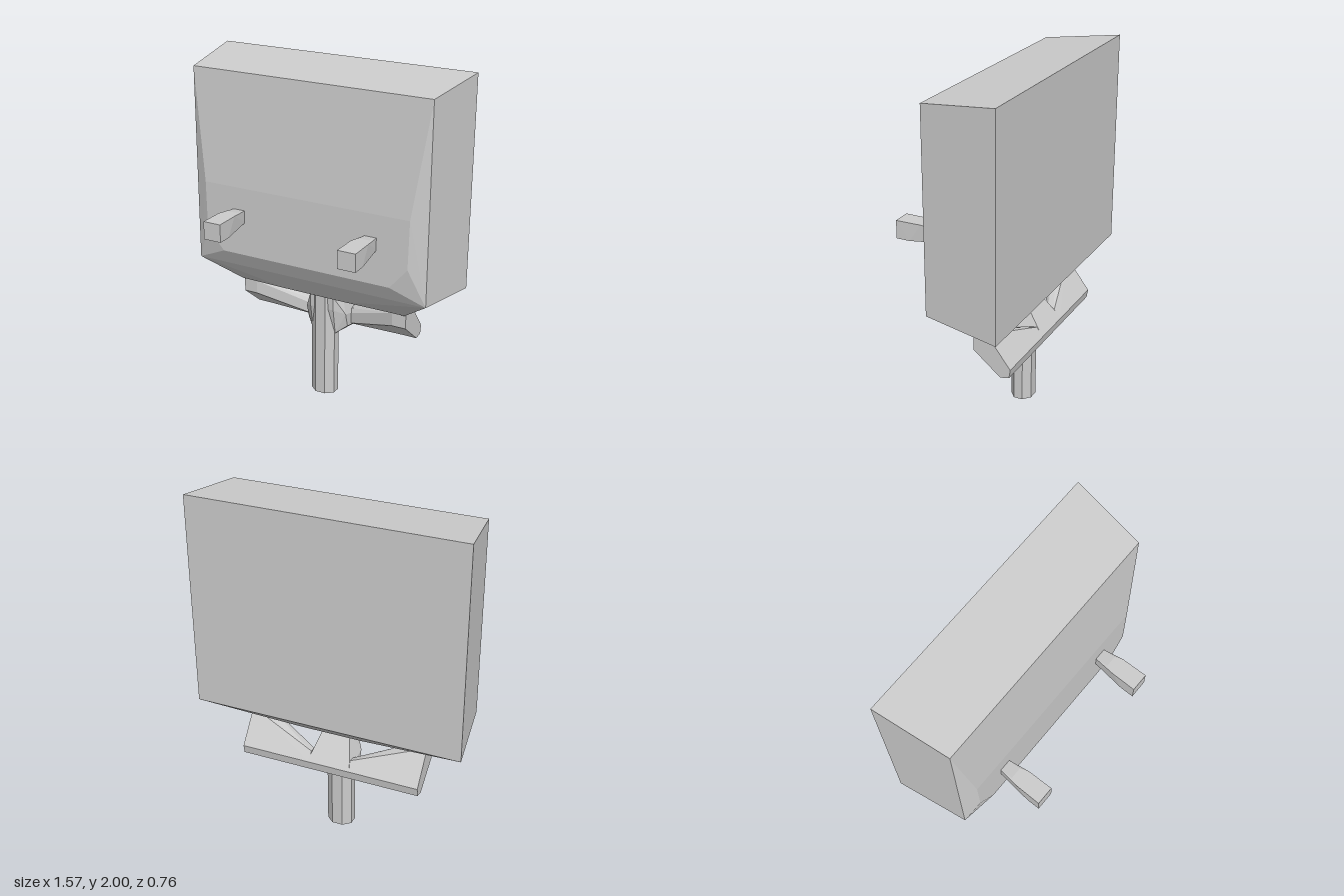
import * as THREE from 'three';
import { ConvexGeometry } from 'three/addons/geometries/ConvexGeometry.js';

const material = new THREE.MeshStandardMaterial({ color: 0xcccccc, flatShading: true });

// Faceted solid around [x, y, z] corners
function hull(name, corners) {
  const mesh = new THREE.Mesh(new ConvexGeometry(corners.map(c => new THREE.Vector3(...c))), material);
  mesh.name = name;
  return mesh;
}
const mirrored = half => half.flatMap(([x, y, z]) => [[x, y, z], [-x, y, z]]);
// Cross-section of [z, y] points placed at x
const section = (x, pts) => pts.map(([z, y]) => [x, y, z]);

export function createModel() {
  const model = new THREE.Group();

  // Housing: tapered box with a shallow front bulge and a chamfered underside
  model.add(hull('housing', mirrored([
    [0.785, 2, -0.38], [0.785, 0.757, -0.38],
    [0.727, 1.95, 0.055], [0.727, 0.8, 0.055],
    [0.64, 1.3, 0.104], [0.635, 1.02, 0.105], [0.53, 0.895, 0.105],
    [0.19, 0.68, -0.02], [0.535, 0.64, -0.1], [0.535, 0.64, -0.22], [0.19, 0.68, -0.3],
  ])));

  // Front pegs, slimmer where they meet the housing
  for (const x of [-0.418, 0.412]) {
    const peg = hull('peg', mirrored([
      [0.054, 1.18, 0.38], [0.054, 1.075, 0.38],
      [0.054, 1.075, 0.3], [0.052, 1.18, 0.19 + 0.04],
      [0.034, 1.18, 0.18], [0.034, 1.165, 0.09], [0.034, 1.095, 0.09],
    ]));
    peg.position.x = x;
    model.add(peg);
  }

  // Octagonal post
  const r = 1 / Math.cos(Math.PI / 8);
  const post = new THREE.Mesh(new THREE.CylinderGeometry(r, r, 0.66, 8, 1, false, Math.PI / 8), material);
  post.name = 'post';
  post.scale.set(0.075, 1, 0.0635);
  post.position.set(-0.004, 0.33, -0.164);
  model.add(post);

  // Hub joining post, arms and housing
  model.add(hull('hub', mirrored([
    [0.075, 0.645, -0.11], [0.08, 0.645, -0.215],
    [0.13, 0.525, -0.165], [0.13, 0.44, -0.19],
    [0.075, 0.56, -0.112], [0.075, 0.4, -0.14], [0.075, 0.4, -0.22],
    [0.13, 0.48, -0.34], [0.13, 0.43, -0.332], [0.13, 0.42, -0.28],
  ])));

  // Arms: deep at the tips, thinning toward the hub
  const tip = [[-0.28, 0.42], [-0.12, 0.55], [-0.12, 0.63], [-0.15, 0.645],
    [-0.22, 0.635], [-0.34, 0.48], [-0.332, 0.43]];
  const root = [[-0.28, 0.42], [-0.24, 0.435], [-0.24, 0.5], [-0.26, 0.525],
    [-0.3, 0.53], [-0.34, 0.48], [-0.332, 0.43]];
  for (const s of [-1, 1]) {
    const arm = new THREE.Group();
    arm.name = s > 0 ? 'leftArm' : 'rightArm';
    arm.add(
      hull('armTip', [...section(s * 0.535, tip), ...section(s * 0.45, tip)]),
      hull('armBrace', [...section(s * 0.45, tip), ...section(s * 0.12, root)]),
    );
    model.add(arm);
  }
  return model;
}
